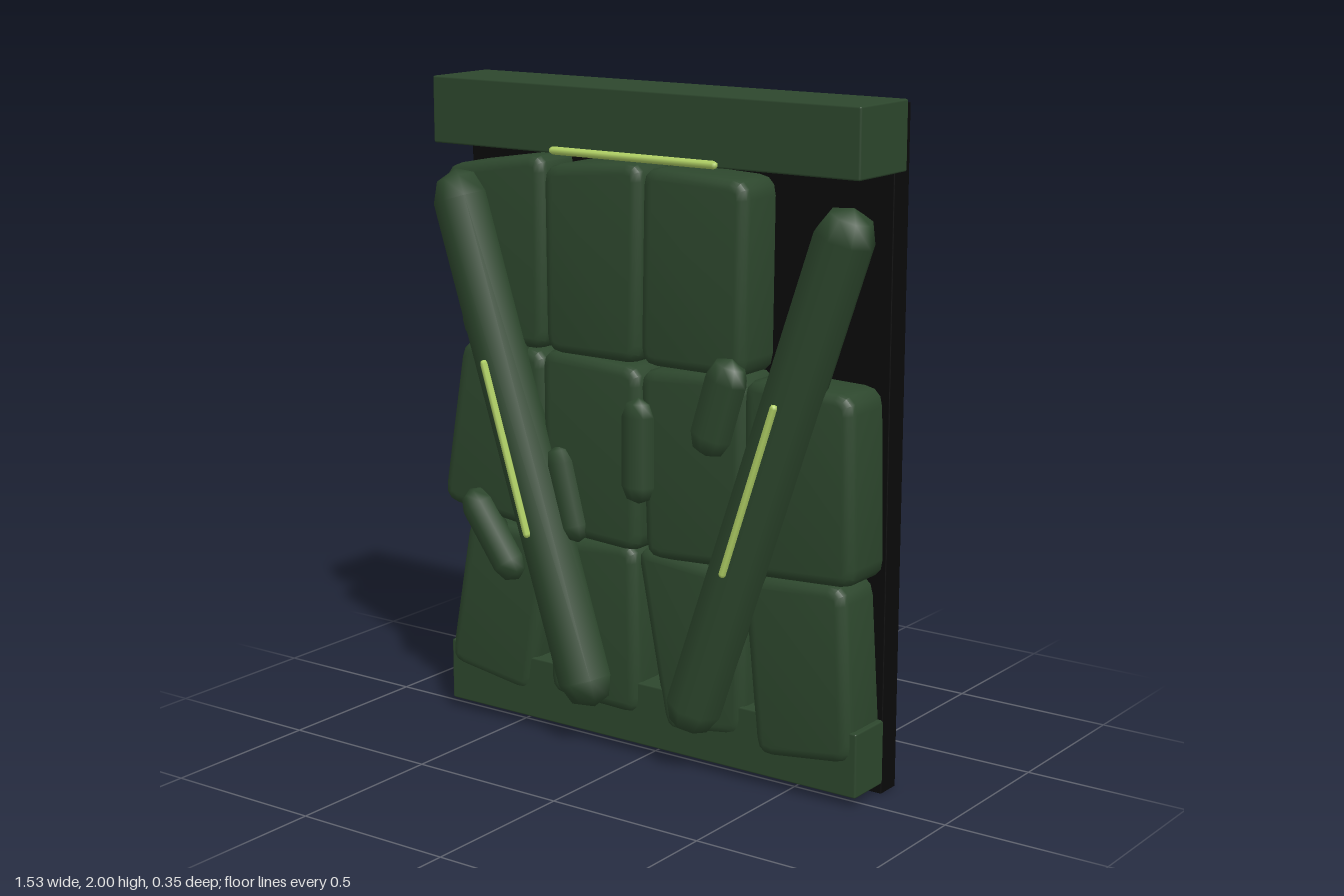
import * as THREE from 'three';
import { toCreasedNormals } from 'three/addons/utils/BufferGeometryUtils.js';
import { RoundedBoxGeometry } from 'three/addons/geometries/RoundedBoxGeometry.js';

const mat = (name, color) => Object.assign(new THREE.MeshStandardMaterial({ color }), { name });

export function createModel() {
  const green = mat('dark green', 0x2d472d);
  const black = mat('black', 0x0a0a0a);
  const lime = mat('glowing lime', 0xb2d266);
  const group = new THREE.Group();

  const add = (name, geometry, material) => {
    const mesh = new THREE.Mesh(geometry, material);
    mesh.name = name;
    group.add(mesh);
    return mesh;
  };

  // Box given by its limits on each axis
  const box = (name, [x0, x1], [y0, y1], [z0, z1], material, r = 0.006) =>
    add(name, new RoundedBoxGeometry(x1 - x0, y1 - y0, z1 - z0, 1, r), material)
      .position.set((x0 + x1) / 2, (y0 + y1) / 2, (z0 + z1) / 2);

  // Round-ended rod between two end centres at depth z
  const rod = (name, a, b, z, r, depth, material, sides = 8, caps = 2) => {
    const dx = b[0] - a[0], dy = b[1] - a[1];
    const mesh = add(name, new THREE.CapsuleGeometry(r, Math.hypot(dx, dy), caps, sides), material);
    mesh.position.set((a[0] + b[0]) / 2, (a[1] + b[1]) / 2, z);
    mesh.rotation.z = Math.atan2(dy, dx) - Math.PI / 2;
    mesh.scale.z = depth;
  };

  // Padded slab: a quad with softened corners and a bevelled rim
  const slab = (name, quad, front) => {
    const p = quad.map(([x, y]) => new THREE.Vector2(x, y));
    const shape = new THREE.Shape();
    p.forEach((c, i) => {
      const toward = (q) => c.clone().add(q.clone().sub(c).setLength(0.055));
      const s = toward(p[(i + 3) % 4]), e = toward(p[(i + 1) % 4]);
      if (i) shape.lineTo(s.x, s.y);
      else shape.moveTo(s.x, s.y);
      shape.quadraticCurveTo(c.x, c.y, e.x, e.y);
    });
    shape.closePath();
    const bevel = 0.03, back = -0.13;
    const geometry = new THREE.ExtrudeGeometry(shape, {
      depth: front - back - 2 * bevel, curveSegments: 3,
      bevelThickness: bevel, bevelSize: bevel, bevelOffset: -bevel, bevelSegments: 3,
    });
    geometry.translate(0, 0, back + bevel);
    add(name, toCreasedNormals(geometry, 0.7), green);
  };

  // Backing board and the two cross beams
  box('backBoard', [-0.76, 0.735], [0, 1.99], [-0.175, -0.095], black, 0.003);
  box('topBeam', [-0.757, 0.737], [1.8, 2], [-0.16, 0.09], green);
  box('bottomBeam', [-0.757, 0.735], [0.03, 0.225], [-0.16, 0.05], green);

  // Rows of slabs; the top right place is empty
  const rows = [
    ['topSlab', 0.06, [
      [[-0.75, 1.73], [-0.37, 1.79], [-0.365, 1.2], [-0.69, 1.2]],
      [[-0.365, 1.76], [-0.01, 1.79], [-0.015, 1.2], [-0.36, 1.2]],
      [[-0.01, 1.78], [0.35, 1.765], [0.345, 1.2], [-0.02, 1.2]],
    ]],
    ['middleSlab', 0.06, [
      [[-0.69, 1.2], [-0.375, 1.2], [-0.37, 0.63], [-0.78, 0.68]],
      [[-0.375, 1.21], [-0.015, 1.19], [-0.015, 0.63], [-0.375, 0.65]],
      [[-0.02, 1.19], [0.35, 1.21], [0.35, 0.64], [0, 0.62]],
      [[0.35, 1.21], [0.71, 1.2], [0.725, 0.65], [0.35, 0.63]],
    ]],
    ['bottomSlab', 0.054, [
      [[-0.68, 0.64], [-0.36, 0.63], [-0.44, 0.1], [-0.77, 0.15]],
      [[-0.36, 0.63], [-0.035, 0.65], [-0.02, 0.12], [-0.36, 0.13]],
      [[-0.04, 0.65], [0.35, 0.62], [0.35, 0.13], [0.07, 0.09]],
      [[0.345, 0.63], [0.69, 0.65], [0.725, 0.13], [0.4, 0.09]],
    ]],
  ];
  for (const [name, front, quads] of rows)
    quads.forEach((q, i) => slab(name + (i + 1), q, front + (i % 2) * 0.008));

  // Two long slanting logs
  rod('rightLog', [-0.665, 1.64], [-0.205, 0.21], 0.07, 0.089, 1, green);
  rod('leftLog', [0.68, 1.64], [0.195, 0.21], 0.07, 0.089, 1, green);

  // Short pods scattered on the slabs
  [
    [[-0.018, 1.05], [-0.018, 0.84], 0.055],
    [[0.29, 1.195], [0.24, 1.03], 0.068],
    [[-0.63, 0.685], [-0.51, 0.52], 0.058],
    [[-0.305, 0.87], [-0.255, 0.68], 0.052],
  ].forEach(([a, b, r], i) => rod('pod' + (i + 1), a, b, 0.06, r, 0.8, green));

  // Lime light strips
  rod('topStrip', [-0.295, 1.81], [0.27, 1.81], 0.1, 0.012, 1, lime, 6);
  rod('rightStrip', [-0.513, 1.163], [-0.357, 0.66], 0.165, 0.012, 1, lime, 6);
  rod('leftStrip', [0.518, 1.163], [0.352, 0.66], 0.165, 0.012, 1, lime, 6);

  return group;
}
